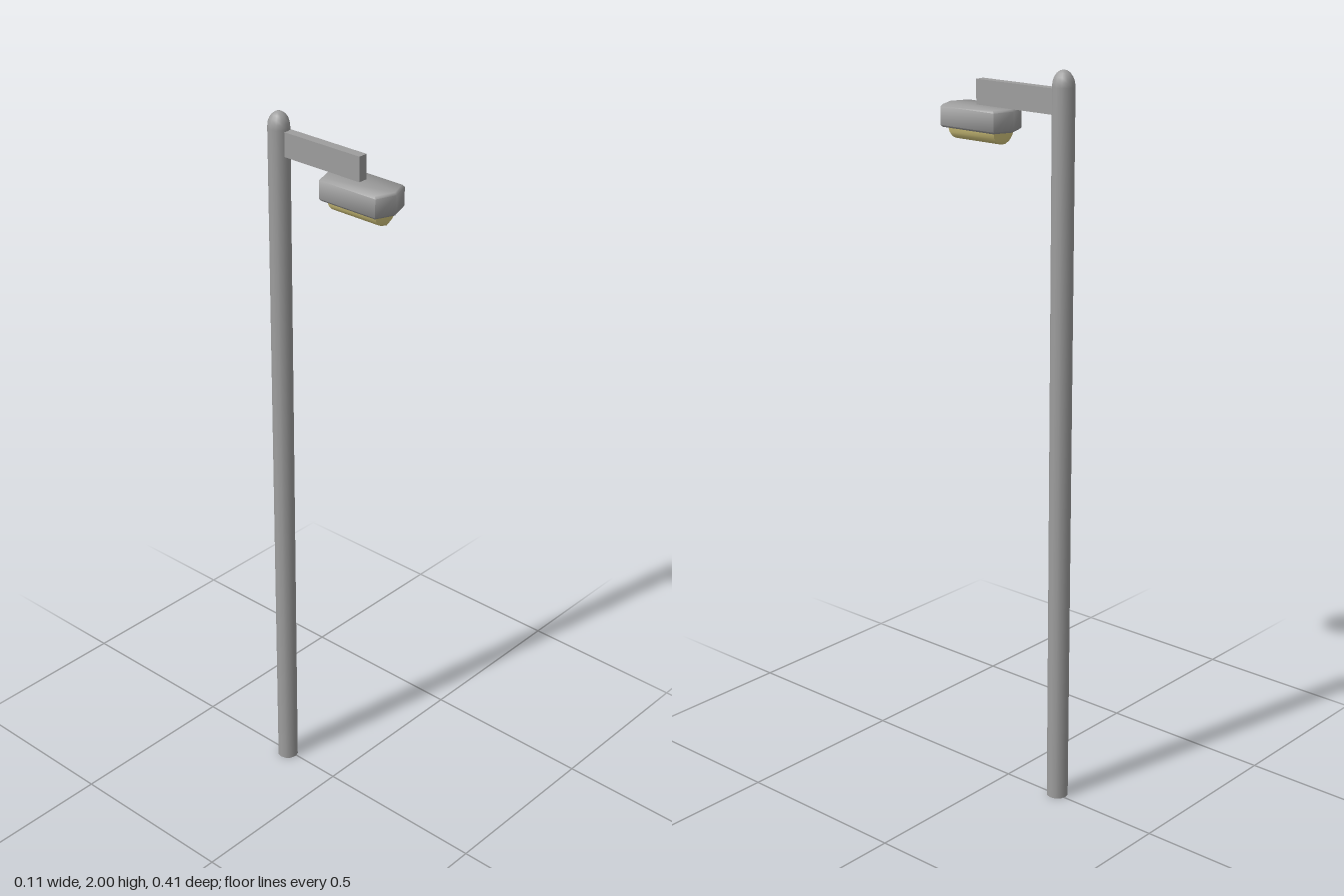
import * as THREE from 'three';
import { toCreasedNormals } from 'three/addons/utils/BufferGeometryUtils.js';

const CX = -0.005; // axis of the pole
const metal = new THREE.MeshStandardMaterial({ color: 0x9e9e9e, side: THREE.DoubleSide });
const glass = new THREE.MeshStandardMaterial({ color: 0xd8ca80 });

// Closed solid from stacked pointed-hexagon rings, listed from bottom to top
function hexLoft(rings, crease) {
  const pos = [], index = [], n = 6;
  for (const { y, w, front, back, tip } of rings) {
    const outline = [[0, front], [w, front - tip], [w, back + tip], [0, back], [-w, back + tip], [-w, front - tip]];
    for (const [x, z] of outline) pos.push(x, y, z);
  }
  for (let r = 0; r < rings.length - 1; r++) {
    for (let i = 0; i < n; i++) {
      const a = r * n + i, b = r * n + (i + 1) % n;
      index.push(a, b, b + n, a, b + n, a + n);
    }
  }
  const top = (rings.length - 1) * n;
  for (let i = 1; i < n - 1; i++) {
    index.push(0, i + 1, i, top, top + i, top + i + 1);
  }
  const geo = new THREE.BufferGeometry();
  geo.setAttribute('position', new THREE.Float32BufferAttribute(pos, 3));
  geo.setIndex(index);
  return toCreasedNormals(geo, crease);
}

export function createModel() {
  const group = new THREE.Group();
  const add = (name, geo, mat, x = 0, y = 0, z = 0) => {
    const mesh = new THREE.Mesh(geo, mat);
    mesh.name = name;
    mesh.position.set(x, y, z);
    group.add(mesh);
  };

  // Hollow pole with a tall domed top
  const R = 0.0295, DOME = 0.042;
  const profile = [new THREE.Vector2(R, 0)];
  for (let i = 0; i <= 5; i++) {
    const a = (i / 5) * Math.PI / 2;
    profile.push(new THREE.Vector2(R * Math.cos(a), 2 - DOME + DOME * Math.sin(a)));
  }
  add('pole', new THREE.LatheGeometry(profile, 12), metal, CX, 0, -0.176);

  // Horizontal arm
  add('arm', new THREE.BoxGeometry(0.026, 0.065, 0.275), metal, -0.001, 1.921, -0.0395);

  // Lamp housing with softly bevelled edges
  add('lampHousing', hexLoft([
    { y: 1.827, w: 0.050, front: 0.200, back: -0.013, tip: 0.02 },
    { y: 1.832, w: 0.054, front: 0.204, back: -0.017, tip: 0.02 },
    { y: 1.880, w: 0.054, front: 0.204, back: -0.017, tip: 0.02 },
    { y: 1.886, w: 0.049, front: 0.199, back: -0.012, tip: 0.02 },
  ], 1.0), metal);

  // Lens bulging below the housing
  add('lens', hexLoft([
    { y: 1.795, w: 0.012, front: 0.175, back: 0.012, tip: 0.006 },
    { y: 1.801, w: 0.025, front: 0.179, back: 0.008, tip: 0.010 },
    { y: 1.813, w: 0.035, front: 0.183, back: 0.004, tip: 0.013 },
    { y: 1.830, w: 0.039, front: 0.187, back: 0.000, tip: 0.014 },
  ], 1.0), glass);

  return group;
}
